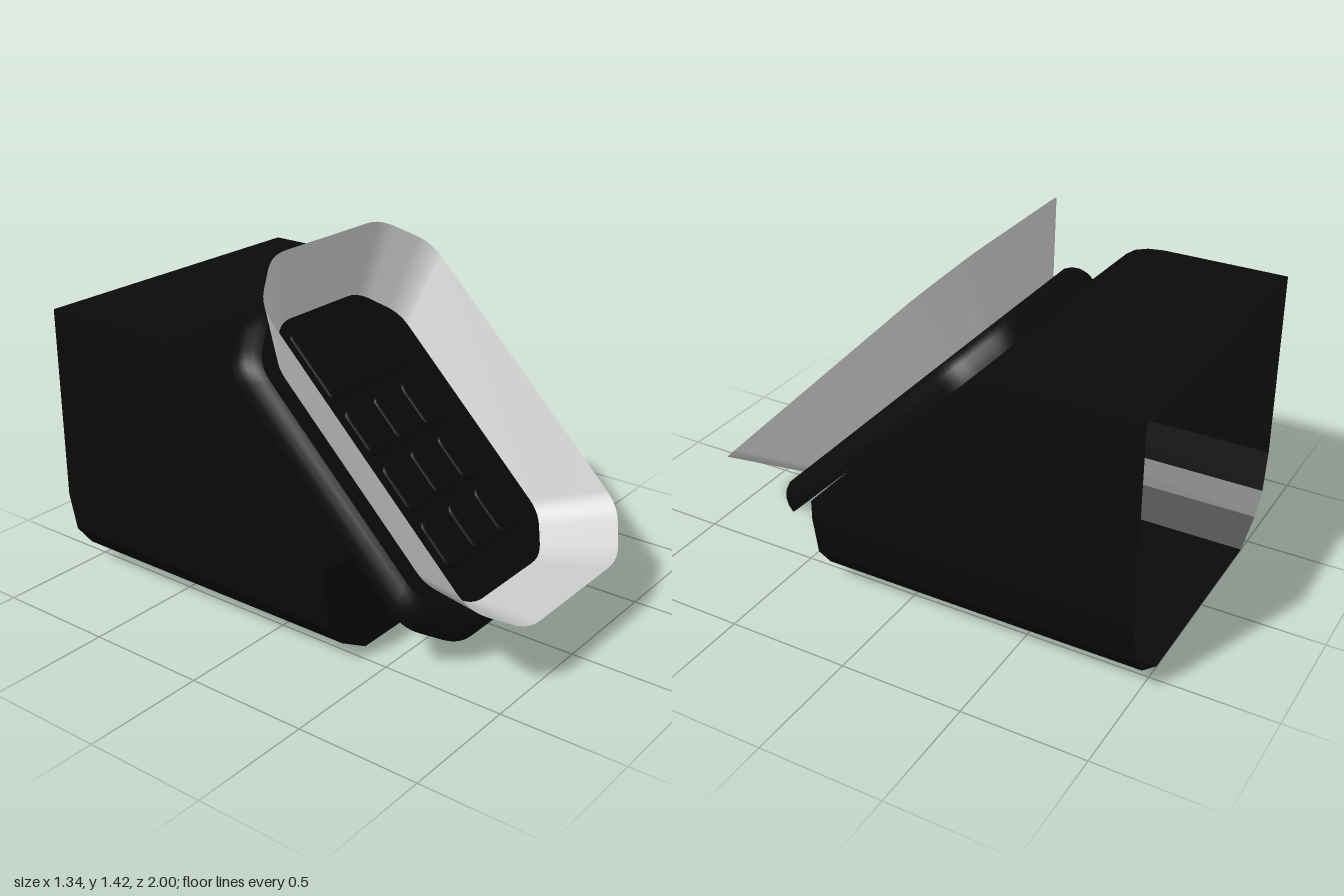
import * as THREE from 'three';
import { toCreasedNormals } from 'three/addons/utils/BufferGeometryUtils.js';

const black = new THREE.MeshStandardMaterial({ color: 0x0a0a0a, side: THREE.DoubleSide });
const grey = new THREE.MeshStandardMaterial({ color: 0xcccccc, side: THREE.DoubleSide });

function addMesh(parent, name, geometry, material) {
  const mesh = new THREE.Mesh(geometry, material);
  mesh.name = name;
  parent.add(mesh);
  return mesh;
}

// Rectangle with chamfered corners (cx by cy), each chamfer end softened
function chamferedOutline(hw, hl, cx, cy) {
  const corners = [
    [hw, -hl + cy], [hw, hl - cy], [hw - cx, hl], [-hw + cx, hl],
    [-hw, hl - cy], [-hw, -hl + cy], [-hw + cx, -hl], [hw - cx, -hl],
  ].map(([x, y]) => new THREE.Vector2(x, y));
  const points = [];
  const soft = Math.hypot(cx, cy) * 0.3;
  corners.forEach((c, i) => {
    const toward = (p) => p.clone().sub(c).setLength(soft).add(c);
    const a = toward(corners[(i + 7) % 8]);
    const b = toward(corners[(i + 1) % 8]);
    points.push(...new THREE.QuadraticBezierCurve(a, c, b).getPoints(5));
  });
  return points;
}

// Skin between outlines stacked along z: sections = [{ z, points }]
function loft(sections) {
  const n = sections[0].points.length;
  const positions = [];
  const index = [];
  sections.forEach(({ z, points }, r) => {
    points.forEach((p, i) => {
      positions.push(p.x, p.y, z);
      if (r === 0) return;
      const j = (i + 1) % n;
      const a = (r - 1) * n, b = r * n;
      index.push(a + i, a + j, b + j, a + i, b + j, b + i);
    });
  });
  const g = new THREE.BufferGeometry();
  g.setAttribute('position', new THREE.Float32BufferAttribute(positions, 3));
  g.setIndex(index);
  g.computeVertexNormals();
  return g;
}

// Open-backed shell: each row gives height, half width and front depth
function housingGeometry() {
  const rows = [
    [0, 0.43, 0.35], [0.08, 0.57, 0.35], [0.17, 0.64, 0.35], [0.34, 0.67, 0.35],
    [0.42, 0.67, 0.35], [1.085, 0.67, -0.315], [1.112, 0.67, -0.355],
    [1.128, 0.67, -0.41], [1.135, 0.67, -0.48],
  ];
  const back = -1;
  const positions = [];
  const quad = (a, b, c, d) => positions.push(...a, ...b, ...c, ...a, ...c, ...d);
  const loops = rows.map(([y, w, z]) => [[-w, y, back], [-w, y, z], [w, y, z], [w, y, back]]);
  for (let r = 1; r < loops.length; r++) {
    const lo = loops[r - 1], hi = loops[r];
    for (let i = 0; i < 3; i++) quad(lo[i], lo[i + 1], hi[i + 1], hi[i]);
  }
  const [f0, f1, f2, f3] = loops[0];
  quad(f0, f3, f2, f1);
  quad(...loops[loops.length - 1]);
  const g = new THREE.BufferGeometry();
  g.setAttribute('position', new THREE.Float32BufferAttribute(positions, 3));
  g.computeVertexNormals();
  return g;
}

function keyGeometry(w, h, r) {
  const s = new THREE.Shape();
  const x = w / 2, y = h / 2;
  s.moveTo(-x + r, -y);
  s.lineTo(x - r, -y).quadraticCurveTo(x, -y, x, -y + r);
  s.lineTo(x, y - r).quadraticCurveTo(x, y, x - r, y);
  s.lineTo(-x + r, y).quadraticCurveTo(-x, y, -x, y - r);
  s.lineTo(-x, -y + r).quadraticCurveTo(-x, -y, -x + r, -y);
  return new THREE.ExtrudeGeometry(s, {
    depth: 0.008, bevelSize: 0.008, bevelThickness: 0.008, bevelOffset: -0.008,
    bevelSegments: 2, curveSegments: 5,
  });
}

export function createModel() {
  const model = new THREE.Group();
  model.name = 'keypadUnit';
  addMesh(model, 'housing', housingGeometry(), black);

  // Everything on the 45 degree slope: local y runs up the slope, z out of it
  const panel = new THREE.Group();
  panel.name = 'slopedPanel';
  panel.rotation.x = -Math.PI / 4;
  panel.position.set(0, 0.212, -0.212);
  model.add(panel);

  // Backing plate with a rounded edge
  const face = 0.652;
  const plateSections = [[0.547, 0], [0.58, 0.002], [0.612, 0.01], [0.638, 0.026], [face, 0.046]]
    .map(([z, inset]) => ({ z, points: chamferedOutline(0.51 - inset, 0.737 - inset, 0.2, 0.17) }));
  addMesh(panel, 'plateEdge', toCreasedNormals(loft(plateSections), 0.6), black);
  for (const [name, section] of [['plateBack', plateSections[0]], ['plateFace', plateSections[4]]]) {
    const cap = new THREE.ShapeGeometry(new THREE.Shape(section.points));
    addMesh(panel, name, cap, black).position.z = section.z;
  }

  // Flared thin hood around the keys
  addMesh(panel, 'hood', loft([
    { z: face, points: chamferedOutline(0.39, 0.645, 0.15, 0.15) },
    { z: 0.889, points: chamferedOutline(0.53, 0.822, 0.2, 0.17) },
  ]), grey);

  // Display window
  addMesh(panel, 'display', keyGeometry(0.49, 0.3, 0.02), black).position.set(0, 0.43, face - 0.008);

  // Three by three keys
  const key = keyGeometry(0.13, 0.21, 0.04);
  for (let row = 0; row < 3; row++) {
    for (let col = -1; col <= 1; col++) {
      addMesh(panel, 'key', key, black).position.set(col * 0.18, 0.12 - row * 0.254, face);
    }
  }
  return model;
}
